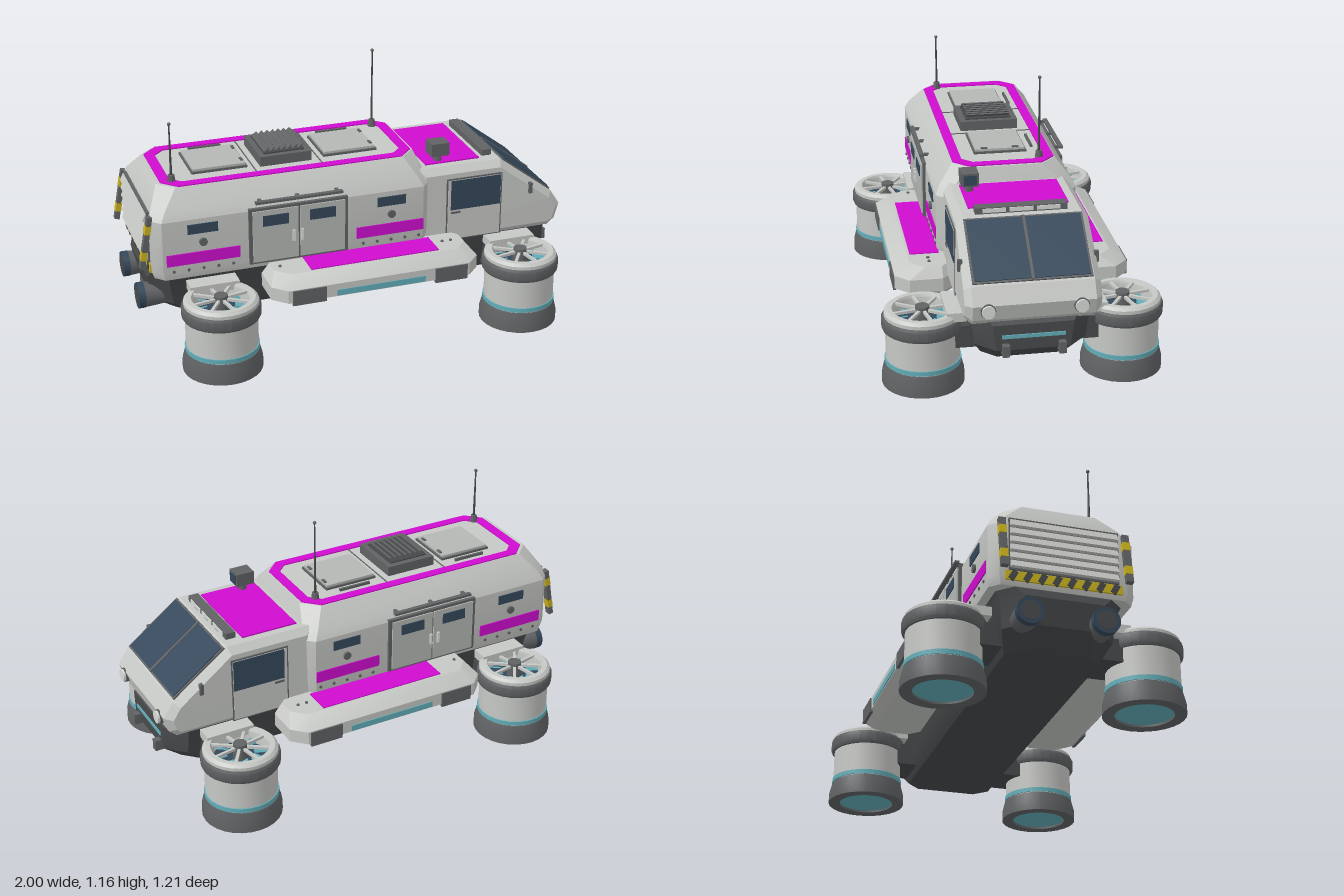
import * as THREE from 'three';
import { toCreasedNormals } from 'three/addons/utils/BufferGeometryUtils.js';

const paint = (name, color) => {
  const m = new THREE.MeshStandardMaterial({ color });
  m.name = name;
  return m;
};

export function createModel() {
  const M = {
    shell: paint('light grey shell', 0xc6c8c5),
    panel: paint('pale grey panel', 0xb4b7b4),
    dark: paint('dark grey trim', 0x606264),
    hull: paint('charcoal hull', 0x47494b),
    accent: paint('magenta accent', 0xcf0ccf),
    glass: paint('blue black glass', 0x35485a),
    teal: paint('teal glow', 0x62adb8),
    yellow: paint('hazard yellow', 0xc9b21e),
    lamp: paint('lamp white', 0xd8dad8),
  };
  const root = new THREE.Group();
  root.name = 'hoverVehicle';

  const add = (parent, name, geo, mat, pos = [0, 0, 0], rot = [0, 0, 0]) => {
    const mesh = new THREE.Mesh(geo, mat);
    mesh.name = name;
    mesh.position.set(...pos);
    mesh.rotation.set(...rot);
    parent.add(mesh);
    return mesh;
  };
  const box = (p, name, mat, size, pos, rot) => add(p, name, new THREE.BoxGeometry(...size), mat, pos, rot);
  const cyl = (p, name, mat, r1, r2, h, pos, rot, n = 24) =>
    add(p, name, toCreasedNormals(new THREE.CylinderGeometry(r1, r2, h, n), 0.6), mat, pos, rot);
  const lathe = (p, name, mat, pts) =>
    add(p, name, toCreasedNormals(new THREE.LatheGeometry(pts.map(q => new THREE.Vector2(...q)), 28), 0.5), mat);

  // Chamfered hull from stacked octagons: [y, x0, x1, z0, z1, corner]
  const stack = levels => {
    const rings = levels.map(([y, x0, x1, z0, z1, c]) => [
      [x0 + c, z1], [x1 - c, z1], [x1, z1 - c], [x1, z0 + c],
      [x1 - c, z0], [x0 + c, z0], [x0, z0 + c], [x0, z1 - c],
    ].map(([x, z]) => [x, y, z]));
    const v = [];
    for (let k = 0; k + 1 < rings.length; k++) {
      for (let i = 0; i < 8; i++) {
        const j = (i + 1) % 8, lo = rings[k], up = rings[k + 1];
        v.push(...lo[i], ...lo[j], ...up[j], ...lo[i], ...up[j], ...up[i]);
      }
    }
    const bot = rings[0], top = rings[rings.length - 1];
    for (let i = 1; i < 7; i++) v.push(...top[0], ...top[i], ...top[i + 1], ...bot[0], ...bot[i + 1], ...bot[i]);
    const g = new THREE.BufferGeometry();
    g.setAttribute('position', new THREE.Float32BufferAttribute(v, 3));
    return toCreasedNormals(g, 0.4);
  };

  // Main hulls
  add(root, 'chassis', stack([
    [0.16, -0.82, 0.87, -0.2, 0.2, 0.06], [0.23, -0.93, 0.955, -0.235, 0.235, 0.08],
    [0.345, -0.95, 0.955, -0.25, 0.25, 0.08], [0.39, -0.93, 0.9, -0.27, 0.27, 0.06]]), M.hull);
  add(root, 'cabin', stack([
    [0.385, -0.935, 0.32, -0.305, 0.305, 0.04], [0.42, -0.945, 0.325, -0.312, 0.312, 0.04],
    [0.66, -0.945, 0.325, -0.312, 0.312, 0.04], [0.7, -0.935, 0.315, -0.293, 0.293, 0.05],
    [0.78, -0.89, 0.285, -0.23, 0.23, 0.07]]), M.shell);

  // Cockpit: side profile extruded across, narrowing towards the roof
  const prof = new THREE.Shape([[0.28, 0.35], [0.93, 0.35], [0.965, 0.38], [0.985, 0.45],
    [0.94, 0.52], [0.68, 0.715], [0.28, 0.715]].map(p => new THREE.Vector2(...p)));
  const cab = new THREE.ExtrudeGeometry(prof, { depth: 0.51, bevelSize: 0.03, bevelOffset: -0.03, bevelThickness: 0.03, bevelSegments: 1 });
  cab.translate(0, 0, -0.255);
  const cp = cab.attributes.position;
  for (let i = 0; i < cp.count; i++) cp.setZ(i, cp.getZ(i) * (1 - 0.1 * Math.max(0, cp.getY(i) - 0.52)));
  cab.computeVertexNormals();
  add(root, 'cockpit', cab, M.shell);

  // Windshield on the sloped face
  const shield = new THREE.Group();
  shield.name = 'windshield';
  shield.position.set(0.81, 0.6175, 0);
  shield.rotation.z = -Math.atan2(0.195, 0.26);
  root.add(shield);
  box(shield, 'windshieldFrame', M.dark, [0.305, 0.008, 0.5], [0, 0.003, 0]);
  for (const s of [1, -1]) box(shield, 'windshieldPane', M.glass, [0.288, 0.008, 0.236], [0, 0.007, s * 0.123]);
  box(shield, 'windshieldDivider', M.dark, [0.3, 0.014, 0.012], [0, 0.008, 0]);

  // Cockpit roof fittings
  box(root, 'cockpitRoofPatch', M.accent, [0.26, 0.008, 0.43], [0.46, 0.717, 0]);
  box(root, 'lightBar', M.dark, [0.045, 0.03, 0.39], [0.635, 0.728, 0]);
  for (let i = -1; i <= 1; i++) box(root, 'lightBarLamp', M.lamp, [0.006, 0.018, 0.1], [0.658, 0.73, i * 0.115]);
  cyl(root, 'cameraPost', M.dark, 0.015, 0.02, 0.05, [0.4, 0.735, 0.182], [0, 0, 0], 12);
  box(root, 'cameraHousing', M.dark, [0.085, 0.06, 0.075], [0.4, 0.782, 0.182]);
  box(root, 'cameraLens', M.glass, [0.006, 0.045, 0.055], [0.444, 0.782, 0.182]);

  // Roof trim ring
  const oct = (C, x0, x1, z, c) => new C([[x0 + c, -z], [x1 - c, -z], [x1, -z + c], [x1, z - c],
    [x1 - c, z], [x0 + c, z], [x0, z - c], [x0, -z + c]].map(p => new THREE.Vector2(...p)));
  const trim = oct(THREE.Shape, -0.87, 0.275, 0.226, 0.065);
  trim.holes.push(oct(THREE.Path, -0.825, 0.232, 0.183, 0.045));
  add(root, 'roofTrim', new THREE.ExtrudeGeometry(trim, { depth: 0.008, bevelEnabled: false }), M.accent, [0, 0.785, 0], [Math.PI / 2, 0, 0]);

  // Roof hatches, seams and vent
  for (const x of [-0.595, 0.005]) {
    box(root, 'hatchFrame', M.dark, [0.25, 0.012, 0.236], [x, 0.784, 0]);
    box(root, 'hatchLid', M.panel, [0.236, 0.024, 0.222], [x, 0.788, 0]);
    box(root, 'hatchHandle', M.dark, [0.15, 0.012, 0.01], [x, 0.786, -0.15]);
    for (const z of [-0.07, 0.07]) box(root, 'hatchHinge', M.dark, [0.012, 0.01, 0.03], [x + 0.11, 0.8, z]);
  }
  for (const x of [-0.445, -0.145]) box(root, 'roofSeam', M.dark, [0.005, 0.004, 0.366], [x, 0.781, 0]);
  box(root, 'ventBase', M.dark, [0.235, 0.045, 0.265], [-0.297, 0.802, 0]);
  box(root, 'ventWell', M.hull, [0.185, 0.008, 0.21], [-0.297, 0.826, 0]);
  for (let i = 0; i < 7; i++) box(root, 'ventSlat', M.dark, [0.028, 0.006, 0.2], [-0.375 + i * 0.026, 0.84, 0], [0, 0, 0.7]);

  // Antennas
  for (const [x, z, top] of [[-0.82, 0.16, 1.045], [0.208, -0.16, 1.15]]) {
    cyl(root, 'antennaBase', M.dark, 0.014, 0.019, 0.035, [x, 0.795, z], [0, 0, 0], 10);
    cyl(root, 'antennaRod', M.hull, 0.003, 0.006, top - 0.79, [x, (top + 0.79) / 2, z], [0, 0, 0], 8);
    add(root, 'antennaTip', new THREE.SphereGeometry(0.008, 10, 8), M.dark, [x, top, z]);
  }

  for (const s of [1, -1]) {
    const side = new THREE.Group();
    side.name = s > 0 ? 'leftSide' : 'rightSide';
    root.add(side);
    const plate = (name, mat, x0, x1, y0, y1, z, t = 0.008) =>
      box(side, name, mat, [x1 - x0, y1 - y0, t], [(x0 + x1) / 2, (y0 + y1) / 2, s * z]);

    // Double cargo door with rail
    plate('doorFrame', M.dark, -0.525, -0.075, 0.41, 0.672, 0.316, 0.016);
    for (const [a, b] of [[-0.51, -0.304], [-0.296, -0.09]]) {
      plate('doorLeaf', M.panel, a, b, 0.42, 0.66, 0.324, 0.012);
      const mid = (a + b) / 2;
      plate('doorWindow', M.glass, mid - 0.058, mid + 0.058, 0.588, 0.637, 0.331, 0.006);
    }
    for (const x of [-0.326, -0.288]) plate('doorHandle', M.lamp, x - 0.006, x + 0.006, 0.5, 0.552, 0.333, 0.01);
    plate('doorRail', M.dark, -0.495, -0.1, 0.695, 0.706, 0.325, 0.02);
    for (const x of [-0.47, -0.3, -0.12]) plate('railBracket', M.dark, x - 0.008, x + 0.008, 0.693, 0.704, 0.305, 0.04);

    // Windows, ports, stripes and rivets beside the door
    for (const [wx, a, b] of [[-0.727, -0.89, -0.565], [0.133, -0.03, 0.285]]) {
      plate('cabinWindow', M.glass, wx - 0.067, wx + 0.067, 0.593, 0.637, 0.313);
      cyl(side, 'sidePort', M.dark, 0.018, 0.018, 0.016, [wx, 0.551, s * 0.315], [Math.PI / 2, 0, 0], 14);
      plate('sideStripe', M.accent, a, b, 0.453, 0.506, 0.313);
      for (let i = 0; i < 5; i++)
        cyl(side, 'rivet', M.dark, 0.007, 0.007, 0.008, [a + 0.03 + i * 0.066, 0.426, s * 0.313], [Math.PI / 2, 0, 0], 8);
    }

    // Cockpit door
    plate('cockpitDoorSeam', M.dark, 0.408, 0.678, 0.36, 0.662, 0.2835, 0.006);
    plate('cockpitDoor', M.shell, 0.414, 0.672, 0.365, 0.656, 0.2845, 0.007);
    plate('cockpitWindow', M.glass, 0.428, 0.67, 0.51, 0.654, 0.286);
    plate('cockpitHandle', M.dark, 0.43, 0.475, 0.493, 0.502, 0.289);
    box(side, 'sideMarker', M.dark, [0.016, 0.05, 0.02], [0.82, 0.565, s * 0.285]);

    // Side pod with lights
    const pod = (y, x0, x1, z, c) => [y, x0, x1, s > 0 ? 0.25 : -z, s > 0 ? z : -0.25, c];
    add(side, 'sidePod', stack([pod(0.268, -0.43, 0.45, 0.465, 0.05), pod(0.295, -0.47, 0.49, 0.515, 0.06),
      pod(0.355, -0.47, 0.49, 0.515, 0.06), pod(0.398, -0.435, 0.455, 0.445, 0.06)]), M.shell);
    plate('podStripe', M.teal, -0.19, 0.22, 0.299, 0.326, 0.515);
    for (const x of [-0.315, 0.343]) plate('podVent', M.dark, x - 0.076, x + 0.076, 0.283, 0.352, 0.514, 0.014);
    box(side, 'podTopPatch', M.accent, [0.595, 0.008, 0.13], [0.017, 0.398, s * 0.37]);
    for (const x of [-0.4, 0.36, 0.4]) cyl(side, 'podRivet', M.dark, 0.007, 0.007, 0.008, [x, 0.4, s * 0.36], [0, 0, 0], 8);

    // Headlights, tow hooks and rear nozzles
    cyl(side, 'headlightRim', M.dark, 0.032, 0.032, 0.04, [0.968, 0.427, s * 0.193], [0, 0, Math.PI / 2]);
    cyl(side, 'headlight', M.lamp, 0.028, 0.028, 0.04, [0.978, 0.427, s * 0.193], [0, 0, Math.PI / 2]);
    box(side, 'towHook', M.dark, [0.045, 0.05, 0.03], [0.962, 0.237, s * 0.118]);
    cyl(side, 'nozzle', M.dark, 0.058, 0.05, 0.11, [-0.935, 0.258, s * 0.16], [0, 0, Math.PI / 2]);
    cyl(side, 'nozzleRing', M.glass, 0.058, 0.058, 0.03, [-0.982, 0.258, s * 0.16], [0, 0, Math.PI / 2]);
    cyl(side, 'nozzleCore', M.hull, 0.042, 0.042, 0.005, [-0.9965, 0.258, s * 0.16], [0, 0, Math.PI / 2]);

    // Slanted rear rails
    box(side, 'rearRail', M.dark, [0.022, 0.24, 0.03], [-0.968, 0.56, s * 0.265], [0, 0, -0.18]);
    for (const y of [0.5, 0.62]) box(side, 'rearRailMark', M.yellow, [0.025, 0.04, 0.032], [-0.968 + (y - 0.56) * 0.18, y, s * 0.265], [0, 0, -0.18]);

    // Lift fans
    for (const x of [-0.687, 0.715]) {
      box(side, 'fanArm', M.hull, [0.2, 0.1, 0.14], [x, 0.235, s * 0.235]);
      box(side, 'fanBracket', M.shell, [0.22, 0.04, 0.08], [x, 0.33, s * 0.3]);
      const fan = new THREE.Group();
      fan.name = 'liftFan';
      fan.position.set(x, 0, s * 0.43);
      side.add(fan);
      lathe(fan, 'fanSkirt', M.dark, [[0.125, 0.03], [0.125, 0], [0.176, 0], [0.175, 0.045], [0.163, 0.092], [0.15, 0.092]]);
      cyl(fan, 'fanGlow', M.teal, 0.126, 0.126, 0.01, [0, 0.015, 0]);
      lathe(fan, 'fanDrum', M.shell, [[0.158, 0.09], [0.158, 0.255]]);
      lathe(fan, 'fanBand', M.teal, [[0.15, 0.096], [0.163, 0.096], [0.163, 0.116], [0.15, 0.116]]);
      lathe(fan, 'fanCollar', M.dark, [[0.15, 0.25], [0.168, 0.25], [0.173, 0.26], [0.173, 0.3], [0.168, 0.31], [0.15, 0.31]]);
      lathe(fan, 'fanRim', M.shell, [[0.163, 0.305], [0.163, 0.325], [0.15, 0.337], [0.128, 0.337], [0.122, 0.325], [0.122, 0.25]]);
      cyl(fan, 'fanFloor', M.glass, 0.124, 0.124, 0.01, [0, 0.265, 0]);
      cyl(fan, 'fanHub', M.dark, 0.03, 0.034, 0.07, [0, 0.31, 0], [0, 0, 0], 14);
      for (let i = 0; i < 8; i++) {
        const arm = new THREE.Group();
        arm.name = 'fanArmPair';
        arm.rotation.y = i * Math.PI / 4 + 0.2;
        fan.add(arm);
        box(arm, 'fanSpoke', M.shell, [0.105, 0.012, 0.013], [0.077, 0.327, 0]);
        box(arm, 'fanBlade', M.teal, [0.06, 0.005, 0.03], [0.085, 0.29, 0.03], [0.5, -0.35, 0]);
      }
    }
  }

  // Nose stripe
  box(root, 'noseStripe', M.teal, [0.008, 0.016, 0.265], [0.956, 0.292, 0]);

  // Rear louvres and hazard strip
  box(root, 'louvreBack', M.dark, [0.02, 0.235, 0.47], [-0.942, 0.567, 0]);
  for (let i = 0; i < 6; i++) box(root, 'louvre', M.shell, [0.012, 0.036, 0.46], [-0.957, 0.473 + i * 0.037, 0], [0, 0, -0.45]);
  box(root, 'hazardStrip', M.yellow, [0.009, 0.04, 0.5], [-0.947, 0.425, 0]);
  for (let i = 0; i < 8; i++) box(root, 'hazardBar', M.hull, [0.009, 0.044, 0.026], [-0.95, 0.425, -0.217 + i * 0.062], [0.5, 0, 0]);

  return root;
}
